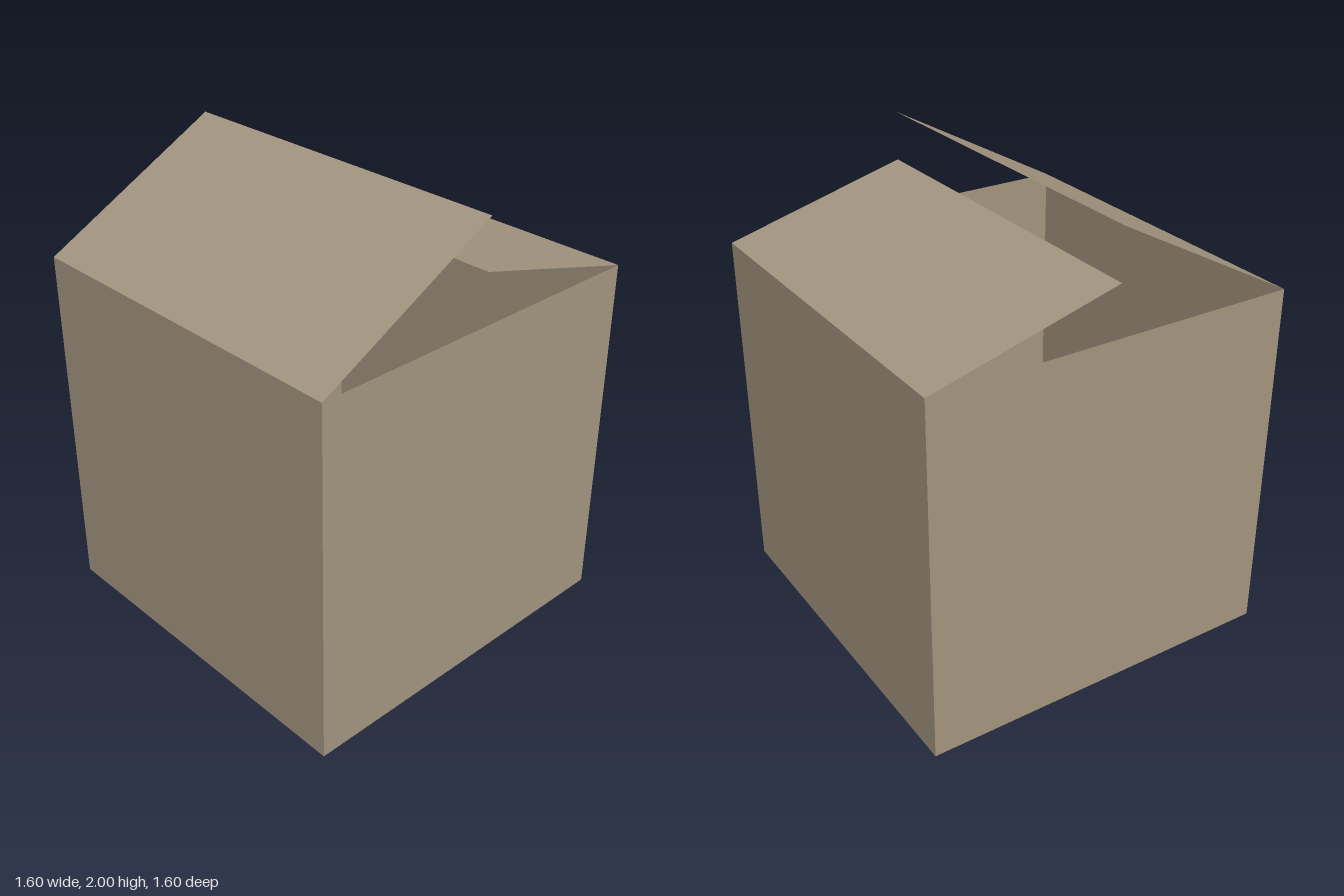
import * as THREE from 'three';

const HALF = 0.8, HEIGHT = 1.57;

export function createModel() {
  const cardboard = new THREE.MeshStandardMaterial({ color: 0xa3957f, side: THREE.DoubleSide });
  cardboard.name = 'cardboard';

  const box = new THREE.Group();
  box.name = 'openCardboardBox';

  // Thin sheet of card, centred on its own pivot
  const sheet = (name, width, height, parent = box) => {
    const mesh = new THREE.Mesh(new THREE.PlaneGeometry(width, height), cardboard);
    mesh.name = name;
    parent.add(mesh);
    return mesh;
  };

  // Four walls, turned around the vertical axis
  ['frontWall', 'leftWall', 'backWall', 'rightWall'].forEach((name, i) => {
    const angle = i * Math.PI / 2;
    const wall = sheet(name, HALF * 2, HEIGHT);
    wall.position.set(Math.sin(angle) * HALF, HEIGHT / 2, Math.cos(angle) * HALF);
    wall.rotation.y = angle;
  });

  // Floor, facing down
  sheet('floor', HALF * 2, HALF * 2).rotation.x = Math.PI / 2;

  // Two lid flaps hinged on the side walls, each reaching the middle at its own height
  const addFlap = (name, side, rise) => {
    const hinge = new THREE.Group();
    hinge.name = name + 'Hinge';
    hinge.position.set(side * HALF, HEIGHT, 0);
    hinge.rotation.z = -side * Math.atan2(rise, HALF);
    const length = Math.hypot(HALF, rise);
    const flap = sheet(name, length, HALF * 2, hinge);
    flap.rotation.x = -Math.PI / 2;
    flap.position.x = -side * length / 2;
    box.add(hinge);
  };
  addFlap('leftFlap', 1, 0.217);
  addFlap('rightFlap', -1, 0.43);

  return box;
}
